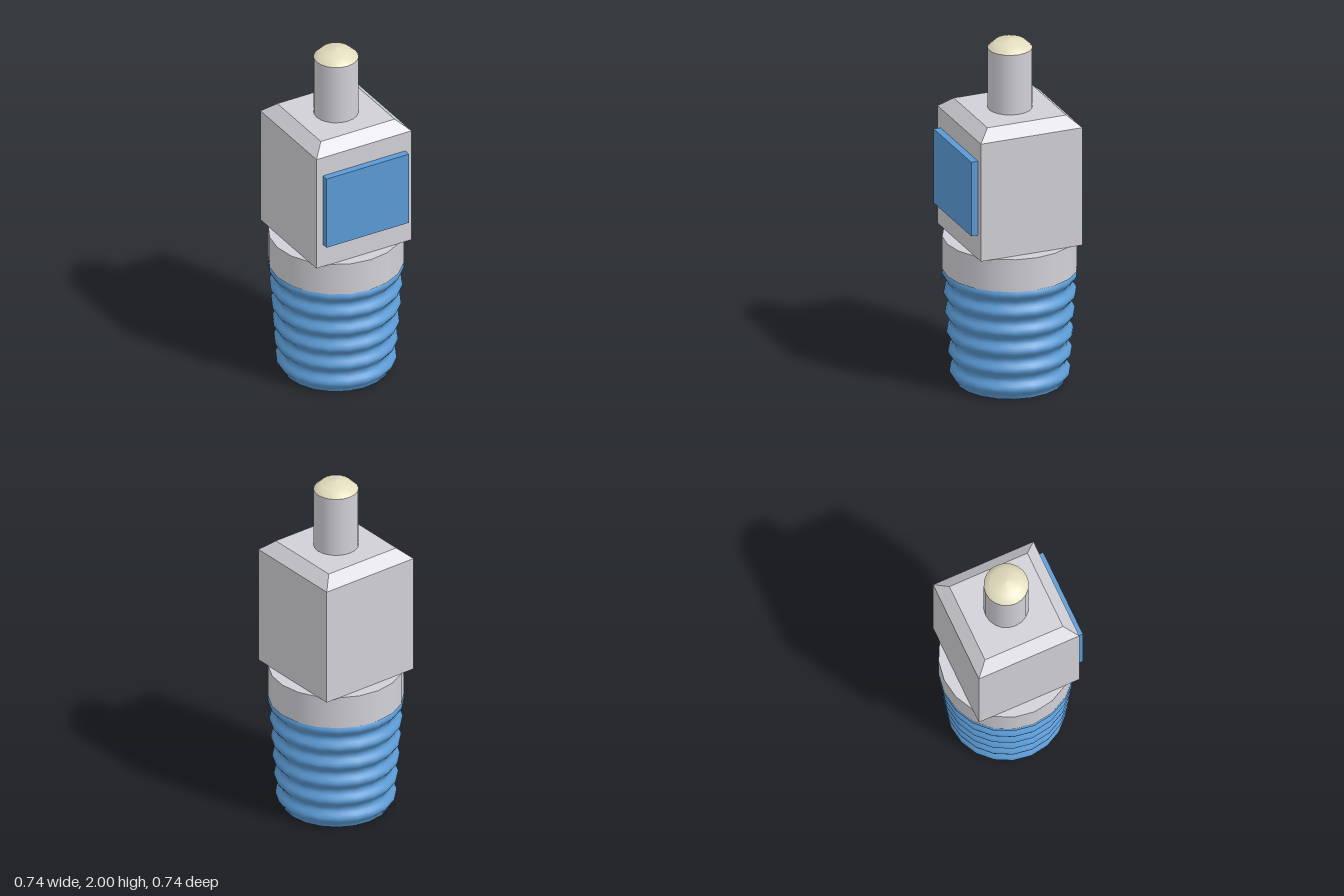
import * as THREE from 'three';

const grey = new THREE.MeshStandardMaterial({ color: 0xd0d0d6 });
grey.name = 'light grey metal';
const blue = new THREE.MeshStandardMaterial({ color: 0x5b9bd5 });
blue.name = 'blue plastic';
const cream = new THREE.MeshStandardMaterial({ color: 0xe2dcbe });
cream.name = 'cream tip';

const SIDES = 20;

export function createModel() {
  const model = new THREE.Group();
  model.name = 'plungerFitting';

  const add = (name, geometry, material, y = 0, z = 0) => {
    const mesh = new THREE.Mesh(geometry, material);
    mesh.name = name;
    mesh.position.set(0, y, z);
    model.add(mesh);
    return mesh;
  };
  const cylinder = (r, y0, y1) => new THREE.CylinderGeometry(r, r, y1 - y0, SIDES).translate(0, (y0 + y1) / 2, 0);

  // Ribbed base: a tapering wave, with ridges 0.115 apart
  const profile = [];
  const steps = 48;
  for (let i = 0; i <= steps; i++) {
    const y = (0.66 * i) / steps;
    const wave = Math.cos(((y - 0.06) / 0.115) * Math.PI * 2);
    profile.push(new THREE.Vector2(0.312 + 0.07 * y + 0.015 * wave, y));
  }
  add('ribbedBase', new THREE.LatheGeometry(profile, SIDES), blue);
  add('baseUnderside', new THREE.CircleGeometry(profile[0].x, SIDES).rotateX(Math.PI / 2), blue);

  // Collar between base and block
  add('collar', cylinder(0.37, 0.66, 0.85), grey);

  // Square block whose top edge is chamfered by moving the upper two rings
  let block = new THREE.BoxGeometry(0.6, 0.75, 0.6, 1, 2, 1);
  const p = block.attributes.position;
  for (let i = 0; i < p.count; i++) {
    const y = p.getY(i);
    if (Math.abs(y) < 0.01) p.setY(i, 0.315);
    else if (y > 0) p.setXYZ(i, Math.sign(p.getX(i)) * 0.233, y, Math.sign(p.getZ(i)) * 0.233);
  }
  block = block.toNonIndexed();
  block.computeVertexNormals();
  add('block', block, grey, 1.225);

  // Raised front panel
  add('frontPanel', new THREE.BoxGeometry(0.52, 0.435, 0.04), blue, 1.2075, 0.32);

  // Pin and its shallow domed tip
  add('pin', cylinder(0.123, 1.6, 1.95), grey);
  const dome = [[0.123, 1.95], [0.084, 1.987], [0, 2]].map(([r, y]) => new THREE.Vector2(r, y));
  add('pinTip', new THREE.LatheGeometry(dome, SIDES), cream);

  return model;
}
